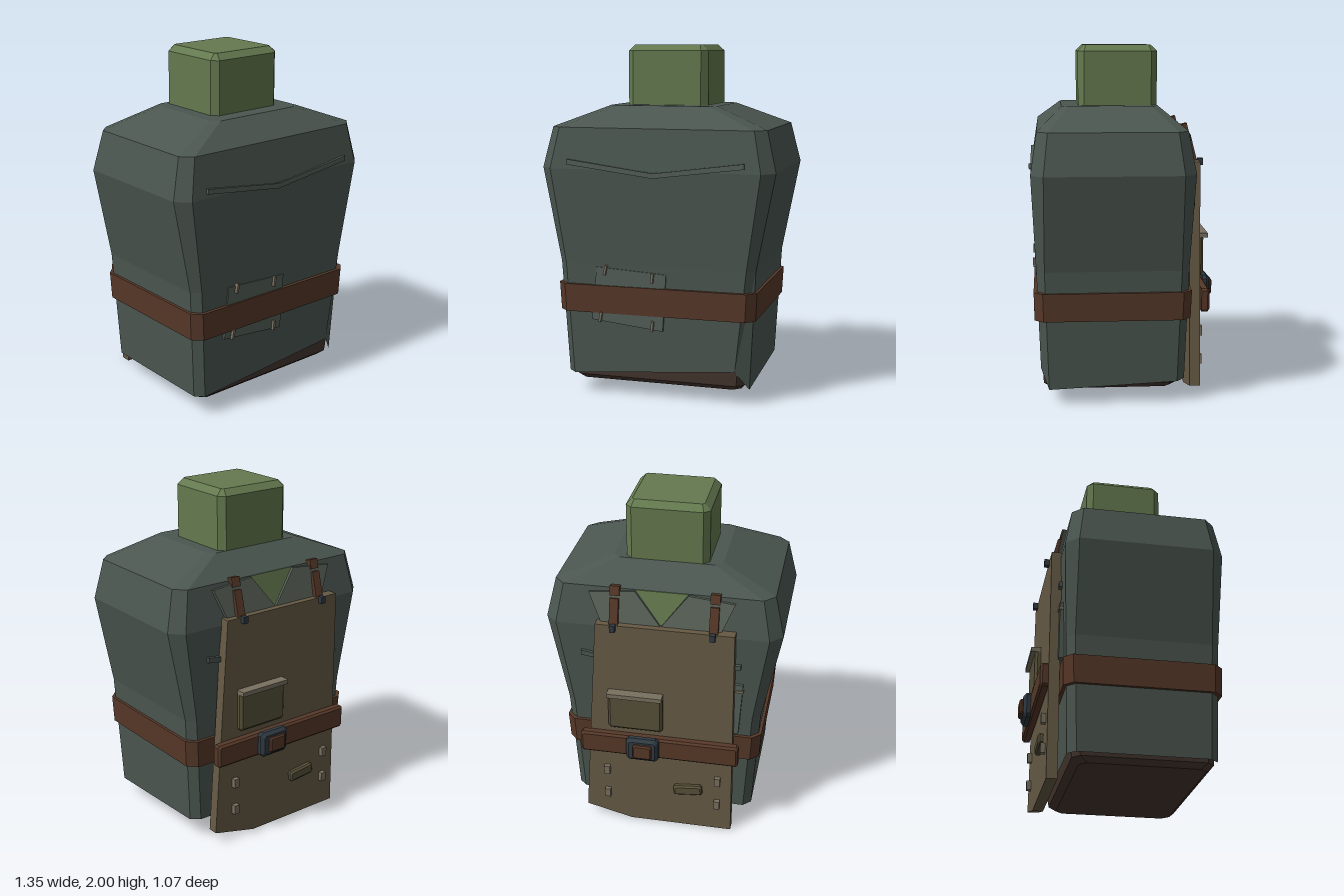
import * as THREE from 'three';

const mat = (color) => new THREE.MeshStandardMaterial({ color, flatShading: true });
const M = {
  cloth: mat(0x4b5650), neck: mat(0x64794f), leather: mat(0x563828), panel: mat(0x665a45),
  pocket: mat(0x565039), trim: mat(0x787060), metal: mat(0x303a42), base: mat(0x44352e),
  patch: mat(0x545e57), lapel: mat(0x5a635a),
};

// Chamfered rectangle at height y: half width x, depth zb..zf, chamfer c
function ring(y, x, zb, zf, c) {
  return [
    [x - c, zf], [x, zf - c], [x, zb + c], [x - c, zb],
    [c - x, zb], [-x, zb + c], [-x, zf - c], [c - x, zf],
  ].map(([px, pz]) => new THREE.Vector3(px, y, pz));
}

// Skin a stack of rings from bottom to top, capping the chosen ends
function loft(rings, capBottom = true, capTop = true) {
  const pos = [];
  const tri = (...pts) => pts.forEach((p) => pos.push(p.x, p.y, p.z));
  const n = rings[0].length;
  for (let r = 0; r < rings.length - 1; r++) {
    for (let i = 0; i < n; i++) {
      const j = (i + 1) % n;
      const [a, b, c, d] = [rings[r][i], rings[r][j], rings[r + 1][j], rings[r + 1][i]];
      tri(a, b, c);
      tri(a, c, d);
    }
  }
  const top = rings[rings.length - 1];
  for (let i = 1; i < n - 1; i++) {
    if (capBottom) tri(rings[0][0], rings[0][i + 1], rings[0][i]);
    if (capTop) tri(top[0], top[i], top[i + 1]);
  }
  const g = new THREE.BufferGeometry();
  g.setAttribute('position', new THREE.Float32BufferAttribute(pos, 3));
  g.computeVertexNormals();
  return g;
}

// Flat plate cut from an x,y outline, spanning z0..z1
function plate(points, z0, z1) {
  const shape = new THREE.Shape(points.map(([x, y]) => new THREE.Vector2(x, y)));
  return new THREE.ExtrudeGeometry(shape, { depth: z1 - z0, bevelEnabled: false }).translate(0, 0, z0);
}

// Block with chamfered long edges, facing -z
function chamferBlock(w, h, d, c) {
  return loft([
    ring(0, w / 2, -h / 2, h / 2, c), ring(d - c, w / 2, -h / 2, h / 2, c),
    ring(d, w / 2 - c, c - h / 2, h / 2 - c, c * 0.6),
  ]).rotateX(-Math.PI / 2);
}

export function createModel() {
  const model = new THREE.Group();
  const add = (name, geometry, material, x = 0, y = 0, z = 0, rx = 0, rz = 0) => {
    const mesh = new THREE.Mesh(geometry, material);
    mesh.name = name;
    mesh.position.set(x, y, z);
    mesh.rotation.set(rx, 0, rz);
    model.add(mesh);
    return mesh;
  };
  const box = (name, w, h, d, material, ...place) =>
    add(name, new THREE.BoxGeometry(w, h, d), material, ...place);

  // Torso with an uneven hem
  const hem = ring(0.1, 0.535, -0.33, 0.48, 0.045);
  [0.195, 0.09, 0.125, 0.13, 0.12, 0.12, 0.12, 0.12].forEach((y, i) => { hem[i].y = y; });
  hem[0].x = 0.46;
  add('torso', loft([
    hem,
    ring(0.77, 0.57, -0.35, 0.5, 0.045),
    ring(1.31, 0.675, -0.375, 0.525, 0.07),
    ring(1.54, 0.62, -0.335, 0.49, 0.06),
    ring(1.66, 0.31, -0.195, 0.35, 0.04),
  ], false), M.cloth);
  add('torsoBase', loft([
    ring(0.08, 0.48, -0.26, 0.43, 0.04),
    ring(0.11, 0.505, -0.3, 0.465, 0.04),
    ring(0.22, 0.52, -0.32, 0.472, 0.045),
  ]), M.base);

  // Neck block
  add('neck', loft([
    ring(1.6, 0.235, -0.195, 0.255, 0.035),
    ring(1.965, 0.235, -0.195, 0.255, 0.035),
    ring(2, 0.2, -0.16, 0.22, 0.012),
  ]), M.neck);

  // Belt around the waist
  add('belt', loft([
    ring(0.49, 0.572, -0.36, 0.512, 0.05),
    ring(0.65, 0.58, -0.365, 0.516, 0.05),
  ]), M.leather);

  // Chest seam on the front and its partner on the back
  const seam = [[-0.505, 1.335], [0, 1.27], [0.515, 1.335], [0.515, 1.365], [0, 1.298], [-0.505, 1.365]];
  add('frontSeam', plate(seam, 0.5, 0.533), M.patch);
  add('backSeam', plate(seam.map(([x, y]) => [x * 0.9, y - 0.22]).slice(), -0.385, -0.34), M.cloth);

  // Stitched patch low on the front
  add('frontPatch', plate([[-0.37, 0.45], [0.05, 0.405], [0.07, 0.73], [-0.34, 0.755]], 0.46, 0.506), M.patch);
  for (const [x, y] of [[-0.285, 0.74], [-0.008, 0.708], [-0.315, 0.468], [-0.008, 0.435]]) {
    box('frontStitch', 0.014, 0.055, 0.04, M.trim, x, y, 0.503, 0, x < -0.1 ? -0.2 : -0.1);
  }

  // Patch on the back, partly under the hanging panel
  add('backPatch', plate([[-0.45, 0.68], [-0.2, 0.68], [-0.2, 1.02], [-0.47, 1.01]], -0.378, -0.33), M.patch);
  box('backStitch', 0.045, 0.014, 0.03, M.trim, -0.45, 0.97, -0.37);

  // Collar opening and lapels, leaning with the upper back
  const collar = new THREE.Group();
  collar.name = 'collar';
  collar.position.set(0, 1.54, -0.335);
  collar.rotation.x = 0.17;
  const collarPart = (name, points, z0, z1, material) => {
    const mesh = new THREE.Mesh(plate(points, z0, z1), material);
    mesh.name = name;
    collar.add(mesh);
  };
  collarPart('undershirt', [[-0.15, 0], [0, -0.2], [0.15, 0]], -0.008, 0.03, M.neck);
  for (const s of [1, -1]) {
    const outline = [[0.15, -0.005], [0.41, -0.03], [0.34, -0.2], [0, -0.2]];
    collarPart('lapel', outline.map(([x, y]) => [x * s, y]), -0.022, 0.01, M.lapel);
  }
  model.add(collar);

  // Hanging panel on the back, bottom corner cut away
  add('backPanel', plate([[-0.43, 0], [0.18, 0], [0.455, 0.07], [0.365, 1.35], [-0.42, 1.35]], -0.427, -0.367), M.panel);

  // Straps that carry the panel
  for (const x of [-0.3, 0.262]) {
    box('strapKnob', 0.055, 0.055, 0.045, M.leather, x, 1.53, -0.343, 0.25);
    box('panelStrap', 0.05, 0.17, 0.025, M.leather, x, 1.41, -0.39, 0.25);
    box('strapPin', 0.03, 0.04, 0.03, M.metal, x, 1.34, -0.44);
  }

  // Pocket with flap edge
  add('pocket', chamferBlock(0.32, 0.24, 0.036, 0.015), M.pocket, 0.14, 0.8, -0.425);
  box('pocketFlap', 0.32, 0.026, 0.06, M.trim, 0.14, 0.917, -0.455);

  // Outer strap and buckle
  add('outerStrap', chamferBlock(0.93, 0.135, 0.046, 0.012), M.leather, 0, 0.573, -0.43);
  add('buckle', chamferBlock(0.19, 0.15, 0.042, 0.018), M.metal, 0.092, 0.577, -0.474);
  add('buckleCentre', chamferBlock(0.11, 0.09, 0.022, 0.008), M.leather, 0.087, 0.577, -0.513);

  // Studs and toggle on the lower panel
  for (const x of [0.32, -0.345]) {
    for (const y of [0.36, 0.19]) box('stud', 0.034, 0.055, 0.03, M.trim, x, y, -0.438);
  }
  add('toggle', chamferBlock(0.17, 0.065, 0.03, 0.01), M.pocket, -0.17, 0.275, -0.425, 0, -0.1);

  return model;
}
